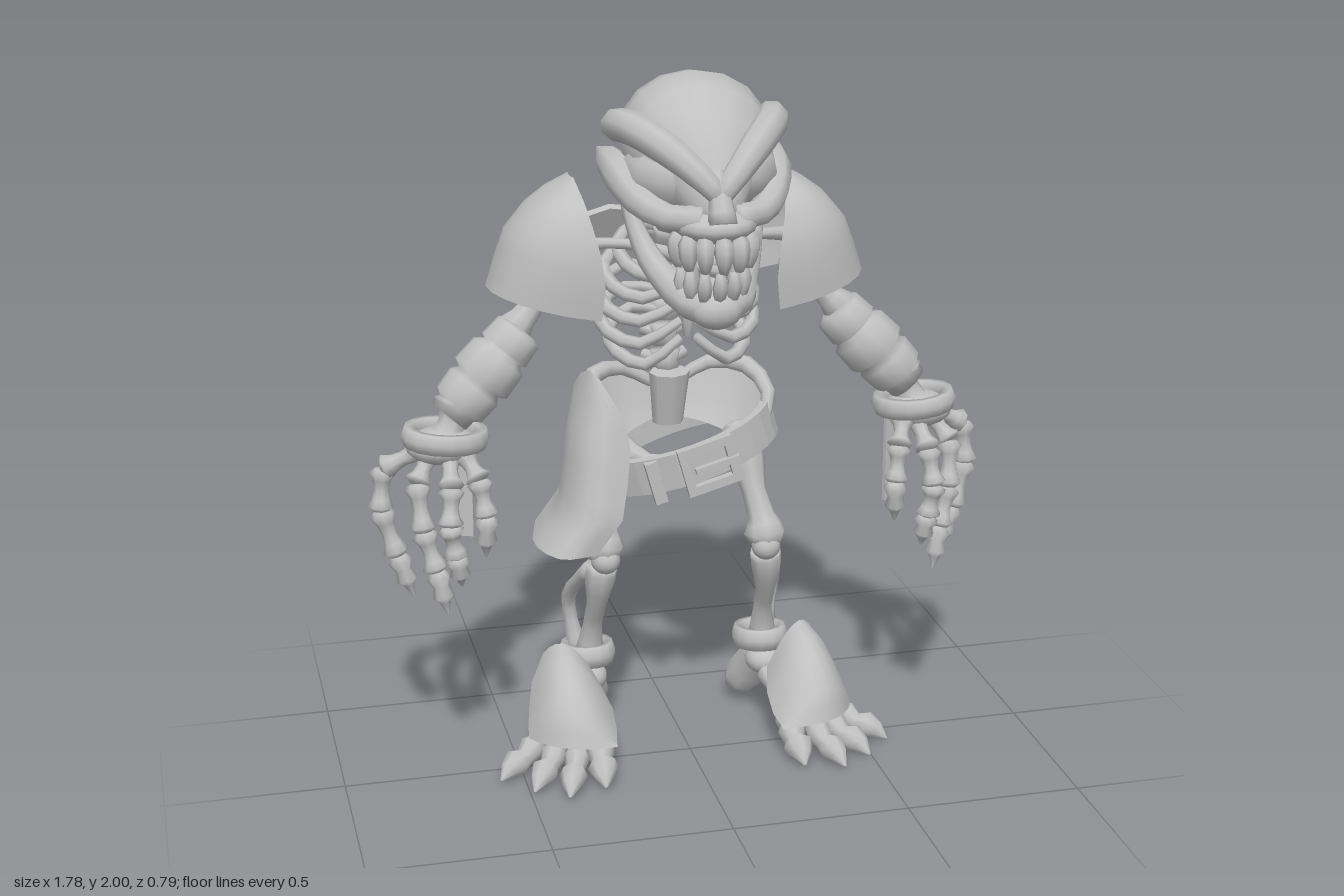
import * as THREE from 'three';

const V = (p) => new THREE.Vector3(...p);
const lerpAt = (list, t) => {
  const f = t * (list.length - 1), i = Math.min(Math.floor(f), list.length - 2);
  return list[i] + (list[i + 1] - list[i]) * (f - i);
};

// Surface from a rule f(u, v) -> [x, y, z]
function grid(nu, nv, f, closed = false) {
  const pos = [], idx = [], cols = closed ? nu : nu + 1;
  for (let j = 0; j <= nv; j++) for (let i = 0; i < cols; i++) pos.push(...f(i / nu, j / nv));
  for (let j = 0; j < nv; j++) for (let i = 0; i < nu; i++) {
    const k = (i + 1) % cols, a = j * cols + i, b = j * cols + k;
    idx.push(a, b, a + cols, b, b + cols, a + cols);
  }
  const g = new THREE.BufferGeometry();
  g.setAttribute('position', new THREE.Float32BufferAttribute(pos, 3));
  g.setIndex(idx);
  g.computeVertexNormals();
  return g;
}

// Capped sweep through points with one radius per point
function limb(points, radii, sides = 8, per = 2) {
  const curve = new THREE.CatmullRomCurve3(points.map(V), false, 'centripetal');
  const n = (points.length - 1) * per, rows = [];
  const t0 = curve.getTangent(0);
  let N = Math.abs(t0.y) < 0.8 ? new THREE.Vector3(0, 1, 0) : new THREE.Vector3(0, 0, 1);
  for (let j = 0; j <= n; j++) {
    const T = curve.getTangent(j / n);
    N = N.clone().addScaledVector(T, -N.dot(T)).normalize();
    const row = { c: curve.getPoint(j / n), N, B: T.clone().cross(N), r: lerpAt(radii, j / n) };
    if (j === 0) rows.push({ ...row, r: 0 });
    rows.push(row);
    if (j === n) rows.push({ ...row, r: 0 });
  }
  return grid(sides, rows.length - 1, (u, v) => {
    const { c, N, B, r } = rows[Math.round(v * (rows.length - 1))], a = u * Math.PI * 2;
    return c.clone().addScaledVector(N, r * Math.cos(a)).addScaledVector(B, r * Math.sin(a)).toArray();
  }, true);
}

// Straight bone with knobbed ends
function bone(a, b, r, knob = 1.6) {
  const at = (t) => V(a).lerp(V(b), t).toArray();
  return limb([0, 0.1, 0.28, 0.5, 0.72, 0.9, 1].map(at),
    [r, r * knob, r * 1.1, r * 0.9, r * 1.1, r * knob, r], 8, 1);
}

function ball(c, sx, sy = sx, sz = sx) {
  return new THREE.SphereGeometry(1, 14, 10).scale(sx, sy, sz).translate(...c);
}

function mirrored(geo) {
  const g = geo.clone().scale(-1, 1, 1);
  const order = g.index ? Array.from(g.index.array) : [...Array(g.attributes.position.count).keys()];
  g.setIndex(order.reverse());
  return g;
}

export function createModel() {
  const model = new THREE.Group();
  const mat = new THREE.MeshStandardMaterial({ color: 0xc0c0c0, side: THREE.DoubleSide });
  mat.name = 'bone grey';
  const add = (name, geo) => {
    const m = new THREE.Mesh(geo, mat);
    m.name = name;
    model.add(m);
  };
  const pair = (name, geo) => { add(name + 'Left', geo); add(name + 'Right', mirrored(geo)); };

  // Skull: elliptical sections along z, with a face filling the eye sockets
  const skull = [[-0.19, 0.005, 1.79, 1.78], [-0.18, 0.07, 1.87, 1.71], [-0.13, 0.14, 1.94, 1.68],
    [-0.04, 0.19, 1.985, 1.66], [0.05, 0.205, 2, 1.65], [0.13, 0.19, 1.975, 1.65],
    [0.2, 0.15, 1.925, 1.64], [0.26, 0.1, 1.86, 1.63], [0.31, 0.06, 1.77, 1.62], [0.35, 0.005, 1.68, 1.66]];
  add('cranium', grid(16, skull.length - 1, (u, v) => {
    const [z, w, top, low] = skull[Math.round(v * (skull.length - 1))], a = u * Math.PI * 2;
    return [w * Math.cos(a), (top + low) / 2 + (top - low) / 2 * Math.sin(a), z];
  }, true));
  add('face', ball([0, 1.745, 0.1], 0.212, 0.125, 0.185));
  pair('brow', limb([[0, 1.72, 0.325], [0.05, 1.775, 0.3], [0.12, 1.835, 0.235], [0.185, 1.87, 0.14],
    [0.21, 1.865, 0.05], [0.215, 1.85, 0]], [0.028, 0.036, 0.044, 0.045, 0.045, 0.03]));
  pair('cheekbone', limb([[0.04, 1.665, 0.315], [0.12, 1.66, 0.265], [0.18, 1.69, 0.18], [0.206, 1.735, 0.09],
    [0.22, 1.76, 0], [0.235, 1.775, -0.09]], [0.035, 0.036, 0.042, 0.05, 0.04, 0.004]));
  add('upperJaw', ball([0, 1.64, 0.265], 0.112, 0.05, 0.115));
  add('nose', limb([[0, 1.78, 0.29], [0, 1.71, 0.33], [0, 1.655, 0.355]], [0.02, 0.032, 0.04]));
  pair('lowerJaw', limb([[0.18, 1.68, 0.02], [0.168, 1.6, 0.05], [0.135, 1.51, 0.11], [0.1, 1.46, 0.18],
    [0.065, 1.43, 0.26], [0, 1.415, 0.295]], [0.022, 0.024, 0.035, 0.041, 0.046, 0.05]));
  add('chin', ball([0, 1.413, 0.295], 0.07, 0.052, 0.05));
  for (let i = 0; i < 7; i++) {
    const a = -1.45 + i * 2.9 / 6, x = Math.sin(a), z = Math.cos(a);
    add('upperTooth', limb([[0.09 * x, 1.625, 0.25 + 0.09 * z], [0.1 * x, 1.6, 0.25 + 0.115 * z],
      [0.1 * x, 1.565, 0.25 + 0.12 * z], [0.096 * x, 1.53, 0.25 + 0.112 * z]], [0.014, 0.026, 0.024, 0.012], 6));
    add('lowerTooth', limb([[0.08 * x, 1.445, 0.24 + 0.075 * z], [0.086 * x, 1.485, 0.24 + 0.095 * z],
      [0.085 * x, 1.52, 0.24 + 0.092 * z]], [0.016, 0.021, 0.012], 6));
  }

  // Spine
  const spine = new THREE.CatmullRomCurve3([[0, 1.1, -0.3], [0, 1.2, -0.31], [0, 1.35, -0.315],
    [0, 1.48, -0.29], [0, 1.58, -0.2], [0, 1.66, -0.05]].map(V));
  for (let i = 0; i < 10; i++) {
    const p = spine.getPointAt(i / 9), T = spine.getTangentAt(i / 9);
    const at = (x, y, z) => [p.x + x, p.y + y, p.z + z];
    const half = T.clone().multiplyScalar(0.03);
    add('vertebra', limb([p.clone().sub(half).toArray(), p.toArray(), p.clone().add(half).toArray()],
      [0.046, 0.036, 0.046], 8, 1));
    add('spineProcess', limb([at(0, 0, -0.02), at(0, -0.01, -0.055), at(0, -0.02, -0.075)], [0.016, 0.022, 0.016], 6, 1));
    pair('sideProcess', limb([at(0.02, 0, -0.015), at(0.062, 0.008, -0.035)], [0.016, 0.02], 6, 1));
  }

  // Rib cage
  [[1.5, 0.16, -0.28], [1.44, 0.2, -0.3], [1.375, 0.215, -0.31], [1.31, 0.215, -0.31], [1.25, 0.19, -0.305]]
    .forEach(([y, w, back], i) => {
      pair('rib', limb([[0.02, y, back], [w * 0.55, y + 0.01, back], [w, y - 0.02, -0.2],
        [w * 0.95, y - 0.06, -0.11], [w * 0.6, y - 0.08, -0.045], [0.02, y - 0.05 + i * 0.012, -0.025]],
      [0.014, 0.018, 0.02, 0.02, 0.019, 0.014], 6));
    });
  add('breastbone', limb([[0, 1.48, -0.045], [0, 1.42, -0.03], [0, 1.33, -0.025], [0, 1.25, -0.03]],
    [0.03, 0.034, 0.024, 0.012]));
  pair('collarbone', limb([[0.02, 1.47, -0.04], [0.12, 1.51, -0.03], [0.22, 1.515, -0.07], [0.34, 1.49, -0.14]],
    [0.022, 0.014, 0.015, 0.024]));
  const blade = new THREE.Shape([[0.06, 0], [0.17, 0.02], [0.3, -0.03], [0.25, -0.12], [0.16, -0.27], [0.09, -0.21]]
    .map((p) => new THREE.Vector2(...p)));
  pair('shoulderBlade', new THREE.ExtrudeGeometry(blade, { depth: 0.02, bevelEnabled: false })
    .rotateX(0.5).translate(0, 1.56, -0.265));

  // Shoulder armour: stacked half-ellipses, open towards the body
  const guard = { y: [1.32, 1.41, 1.5, 1.58, 1.635, 1.685], inner: [0.25, 0.24, 0.25, 0.268, 0.28, 0.292],
    depth: [0.285, 0.27, 0.23, 0.155, 0.085, 0.005], half: [0.2, 0.208, 0.203, 0.175, 0.13, 0.04] };
  pair('shoulderGuard', grid(12, 10, (u, v) => {
    const a = (u - 0.5) * Math.PI, pw = (n) => Math.sign(n) * Math.abs(n) ** (a > 0 ? 1 : 0.85);
    return [lerpAt(guard.inner, v) + lerpAt(guard.depth, v) * pw(Math.cos(a)),
      lerpAt(guard.y, v) + 0.065 * Math.cos(a) * (1 - v), -0.18 - lerpAt(guard.half, v) * pw(Math.sin(a))];
  }));

  // Arms, wrapped forearms and wrist bands
  pair('upperArm', bone([0.32, 1.43, -0.16], [0.49, 1.25, -0.12], 0.036));
  const wrap = [[0, 0.045], [0.03, 0.072], [0.24, 0.078], [0.26, 0.064], [0.32, 0.088], [0.56, 0.093],
    [0.6, 0.07], [0.66, 0.085], [0.86, 0.08], [0.9, 0.062], [1, 0.06]];
  pair('forearmWrap', limb(wrap.map(([t]) => [0.45 + 0.21 * t, 1.275 - 0.225 * t, -0.115 + 0.035 * t]),
    wrap.map((w) => w[1]), 10, 1));
  pair('wrist', bone([0.63, 1.1, -0.085], [0.68, 0.97, -0.06], 0.042));
  pair('wristBand', new THREE.TorusGeometry(0.098, 0.02, 6, 16).rotateX(Math.PI / 2).scale(1.05, 1.6, 0.92)
    .rotateZ(0.08).translate(0.675, 1.0, -0.065));
  pair('hangingStrap', new THREE.BoxGeometry(0.055, 0.28, 0.012).rotateY(0.4).translate(0.625, 0.83, -0.1));
  pair('palm', ball([0.685, 0.975, -0.063], 0.1, 0.05, 0.088));

  // Fingers: knobbed bones ending in a claw
  [[[0.73, 0.96, -0.09], [0.845, 0.9, -0.12], [0.855, 0.78, -0.11], [0.815, 0.65, -0.095], [0.775, 0.53, -0.08]],
    [[0.72, 0.96, -0.05], [0.765, 0.89, 0], [0.755, 0.76, 0.03], [0.725, 0.65, 0.05], [0.7, 0.53, 0.07]],
    [[0.67, 0.96, -0.03], [0.68, 0.89, 0.06], [0.69, 0.79, 0.09], [0.675, 0.7, 0.085], [0.66, 0.61, 0.075]],
    [[0.63, 0.96, -0.02], [0.6, 0.9, 0.04], [0.585, 0.8, 0.06], [0.588, 0.68, 0.05]]].forEach((f) => {
    for (let i = 0; i < f.length - 2; i++) pair('fingerBone', bone(f[i], f[i + 1], 0.023));
    const [a, b] = f.slice(-2).map(V);
    pair('claw', limb([0, 0.15, 0.35, 0.6, 0.72, 1].map((t) => a.clone().lerp(b, t).toArray()),
      [0.02, 0.034, 0.022, 0.03, 0.016, 0.003], 8, 1));
  });

  // Pelvis
  add('sacrum', new THREE.CylinderGeometry(0.06, 0.045, 0.16, 8).scale(1, 1, 0.7).rotateX(0.15).translate(0, 1.0, -0.26));
  const crest = new THREE.CatmullRomCurve3([[0.04, 1.03, -0.32], [0.13, 1.08, -0.31], [0.225, 1.085, -0.24],
    [0.262, 1.03, -0.14], [0.235, 0.95, -0.09]].map(V));
  const bowl = new THREE.CatmullRomCurve3([[0.04, 0.93, -0.28], [0.1, 0.92, -0.24], [0.16, 0.9, -0.19],
    [0.18, 0.885, -0.14], [0.18, 0.88, -0.1]].map(V));
  pair('hipBone', grid(10, 4, (u, v) => {
    const p = bowl.getPoint(u).lerp(crest.getPoint(u), v);
    p.y -= 0.015 * Math.sin(v * Math.PI);
    return p.toArray();
  }));
  pair('hipCrest', limb(crest.points.map((p) => p.toArray()), [0.018, 0.022, 0.026, 0.022, 0.012]));
  pair('pubicBone', limb([[0.17, 0.9, -0.15], [0.1, 0.87, -0.09], [0, 0.86, -0.07]], [0.04, 0.022, 0.028]));

  // Belt and buckle
  const ring = new THREE.Shape().absellipse(0, 0, 0.275, 0.205, 0, Math.PI * 2);
  ring.holes.push(new THREE.Path().absellipse(0, 0, 0.25, 0.18, 0, Math.PI * 2, true));
  add('belt', new THREE.ExtrudeGeometry(ring, { depth: 0.105, bevelEnabled: false, curveSegments: 14 })
    .translate(0, 0, -0.0525).rotateX(-Math.PI / 2 + 0.03).rotateZ(0.28).translate(0.02, 0.895, -0.18));
  const box = (w, h) => [[-w, -h], [w, -h], [w, h], [-w, h]].map((p) => new THREE.Vector2(...p));
  const frame = new THREE.Shape(box(0.08, 0.07));
  frame.holes.push(new THREE.Path(box(0.055, 0.045).reverse()));
  add('buckle', new THREE.ExtrudeGeometry(frame, { depth: 0.025, bevelEnabled: false })
    .rotateZ(0.27).translate(0.05, 0.885, 0.015));
  add('bucklePin', new THREE.BoxGeometry(0.13, 0.018, 0.02).rotateZ(0.27).translate(0.07, 0.89, 0.04));
  add('beltLoop', new THREE.BoxGeometry(0.035, 0.125, 0.03).rotateZ(0.27).translate(-0.1, 0.84, 0.005));

  // Hip plate on one side: curved around the hip, flaring at the hem
  const plan = new THREE.CatmullRomCurve3([[-0.18, 0, 0.04], [-0.28, 0, 0.05], [-0.335, 0, -0.08],
    [-0.3, 0, -0.27]].map(V));
  add('hipPlate', grid(8, 10, (u, v) => {
    const p = plan.getPoint(0.5 + (u - 0.5) * lerpAt([0.25, 0.75, 1, 1, 1, 1], v));
    const push = lerpAt([0.06, 0.04, 0.015, 0, -0.02, -0.095], v);
    return [p.x + push, 1.14 - 0.49 * v - 0.05 * Math.abs(u - 0.5) * (1 - v),
      p.z + lerpAt([-0.12, -0.09, -0.06, -0.035, -0.01, 0], v)];
  }));

  // Legs
  pair('hipJoint', ball([0.185, 0.89, -0.16], 0.055));
  pair('thighBone', limb([[0.19, 0.89, -0.165], [0.205, 0.83, -0.15], [0.215, 0.75, -0.11], [0.23, 0.68, -0.08],
    [0.237, 0.635, -0.065], [0.237, 0.6, -0.065]], [0.045, 0.052, 0.036, 0.04, 0.062, 0.045]));
  pair('kneecap', ball([0.235, 0.6, -0.045], 0.042));
  pair('shinBone', limb([[0.24, 0.575, -0.07], [0.245, 0.53, -0.075], [0.25, 0.45, -0.1], [0.255, 0.36, -0.15],
    [0.262, 0.25, -0.18]], [0.045, 0.045, 0.03, 0.028, 0.045]));
  pair('calfBone', limb([[0.265, 0.56, -0.09], [0.29, 0.5, -0.16], [0.308, 0.42, -0.235], [0.3, 0.34, -0.245],
    [0.28, 0.23, -0.23]], [0.028, 0.02, 0.022, 0.021, 0.034]));
  pair('ankleBand', new THREE.TorusGeometry(0.066, 0.018, 6, 14).rotateX(Math.PI / 2).scale(1, 2, 1.1)
    .rotateX(-0.12).translate(0.262, 0.255, -0.2));
  pair('ankle', ball([0.265, 0.19, -0.17], 0.055, 0.045, 0.06));
  pair('heel', limb([[0.262, 0.22, -0.195], [0.252, 0.15, -0.25], [0.238, 0.085, -0.295], [0.23, 0.05, -0.32]],
    [0.038, 0.05, 0.058, 0.046]));

  // Feet: four long toes with claws
  [[0.57, 0.09], [0.49, 0.18], [0.4, 0.235], [0.29, 0.2]].forEach(([x, z], i) => {
    const at = (t, y) => [0.27 + (x - 0.27) * t, y, -0.14 + (z + 0.14) * t];
    pair('footBone', bone(at(0, 0.17), at(0.62, 0.075), 0.024));
    pair('toe', limb([at(0.55, 0.08), at(0.66, 0.068), at(0.74, 0.048), at(0.83, 0.046), at(0.91, 0.034), at(1, 0.012)],
      [0.02, 0.038, 0.028, 0.04, 0.028, 0.004].map((r) => (i === 3 ? r * 1.1 : r)), 8, 1));
  });

  // Foot armour: arched plate along the foot, higher on its outer side
  pair('footGuard', grid(8, 8, (u, v) => {
    const s = u * 2 - 1, w = lerpAt([0.085, 0.12, 0.13, 0.13, 0.13], v), e = s * s;
    const drop = lerpAt([0.08, 0.12, 0.13, 0.08, 0.01], v), back = lerpAt([0.02, 0.03, 0.04, 0.05, 0.06], v) * e;
    return [lerpAt([0.335, 0.35, 0.365, 0.38, 0.385], v) + 0.9 * w * s - 0.43 * back,
      lerpAt([0.325, 0.31, 0.27, 0.195, 0.113], v) - drop * e + 0.04 * s * (1 - v),
      lerpAt([-0.09, -0.02, 0.05, 0.11, 0.135], v) - 0.43 * w * s - 0.9 * back];
  }));
  return model;
}
